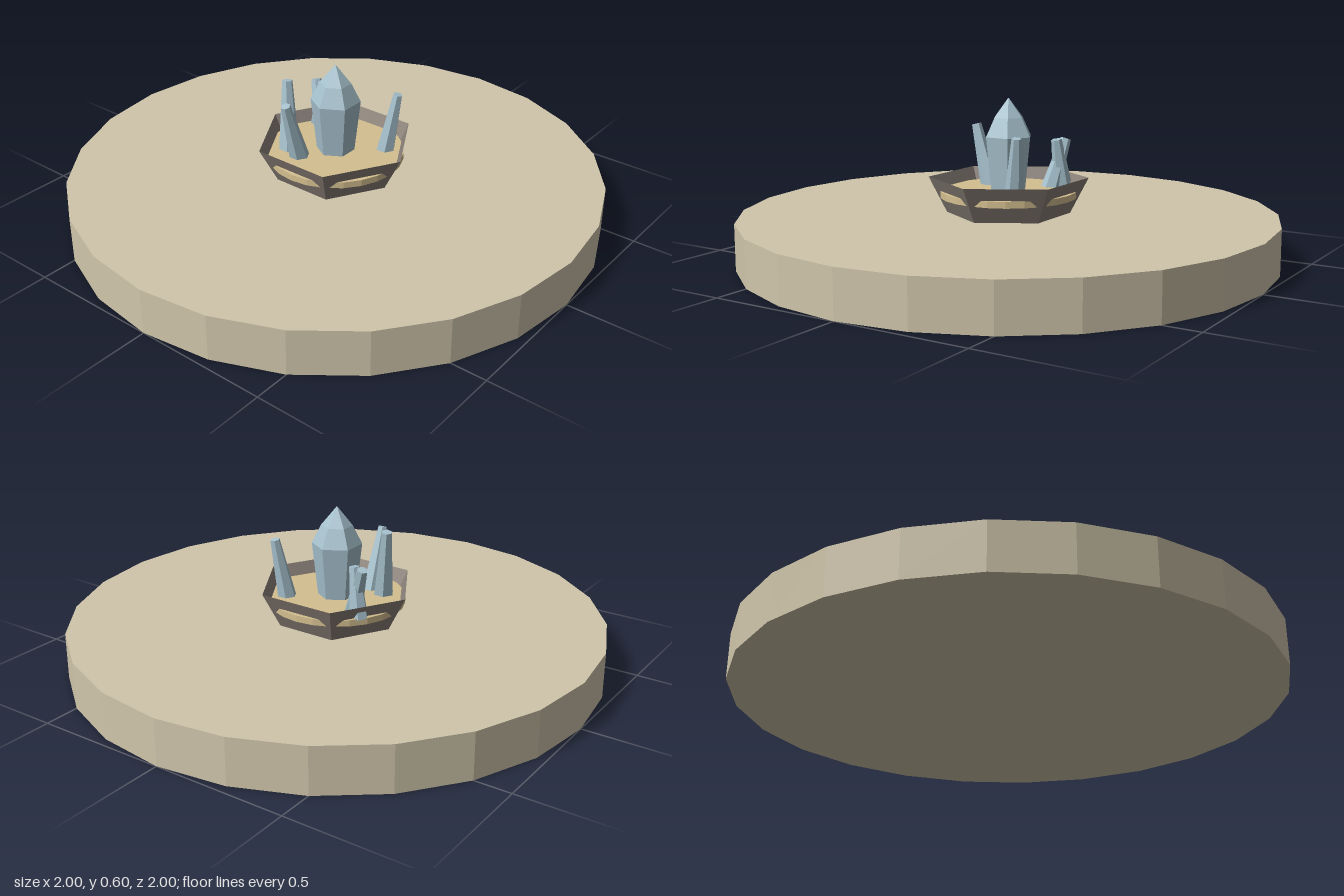
import * as THREE from 'three';

const mat = (name, color, extra = {}) =>
  Object.assign(new THREE.MeshStandardMaterial({ color, flatShading: true, ...extra }), { name });

export function createModel() {
  const group = new THREE.Group();
  const stone = mat('pale stone', 0xd0c6ab);
  const rock = mat('grey bowl', 0x8b8179, { side: THREE.DoubleSide });
  const sand = mat('sand', 0xd4bf8f);
  const crystal = mat('blue crystal', 0xa6c1cd);

  const add = (name, geometry, material, y = 0) => {
    const mesh = new THREE.Mesh(geometry, material);
    mesh.name = name;
    mesh.position.y = y;
    group.add(mesh);
    return mesh;
  };

  // Broad round plinth
  add('plinth', new THREE.CylinderGeometry(1, 1, 0.172, 24), stone, 0.086);

  // Flared six-sided bowl, open on top, corners towards front and back
  add('bowl', new THREE.CylinderGeometry(0.298, 0.23, 0.133, 6, 1, true), rock, 0.2385);

  // Sand disc whose rim pokes through the bowl's six walls
  add('sandDisc', new THREE.CylinderGeometry(0.255, 0.255, 0.024, 24), sand, 0.247);

  // Large central crystal with a pointed cap
  const profile = [[0, 0.25], [0.07, 0.25], [0.093, 0.46], [0.058, 0.53], [0, 0.602]]
    .map(([r, y]) => new THREE.Vector2(r, y));
  add('mainCrystal', new THREE.LatheGeometry(profile, 6, Math.PI / 6), crystal);

  // Small leaning shards: foot and tip positions, foot and tip radii
  const up = new THREE.Vector3(0, 1, 0);
  const shards = [
    [[-0.125, 0.25, -0.07], [-0.192, 0.485, -0.075], 0.038, 0.018],
    [[-0.105, 0.25, -0.138], [-0.072, 0.515, -0.17], 0.04, 0.02],
    [[0.098, 0.25, -0.14], [0.13, 0.437, -0.2], 0.036, 0.02],
    [[0.128, 0.25, -0.185], [0.115, 0.437, -0.155], 0.036, 0.02],
    [[0.115, 0.25, 0.145], [0.145, 0.48, 0.175], 0.036, 0.018],
  ];
  shards.forEach(([foot, tip, r0, r1], i) => {
    const a = new THREE.Vector3(...foot), b = new THREE.Vector3(...tip);
    const axis = b.clone().sub(a);
    const shard = add(`shard${i + 1}`, new THREE.CylinderGeometry(r1, r0, axis.length(), 6), crystal);
    shard.position.copy(a).add(b).multiplyScalar(0.5);
    shard.quaternion.setFromUnitVectors(up, axis.normalize());
  });

  return group;
}
